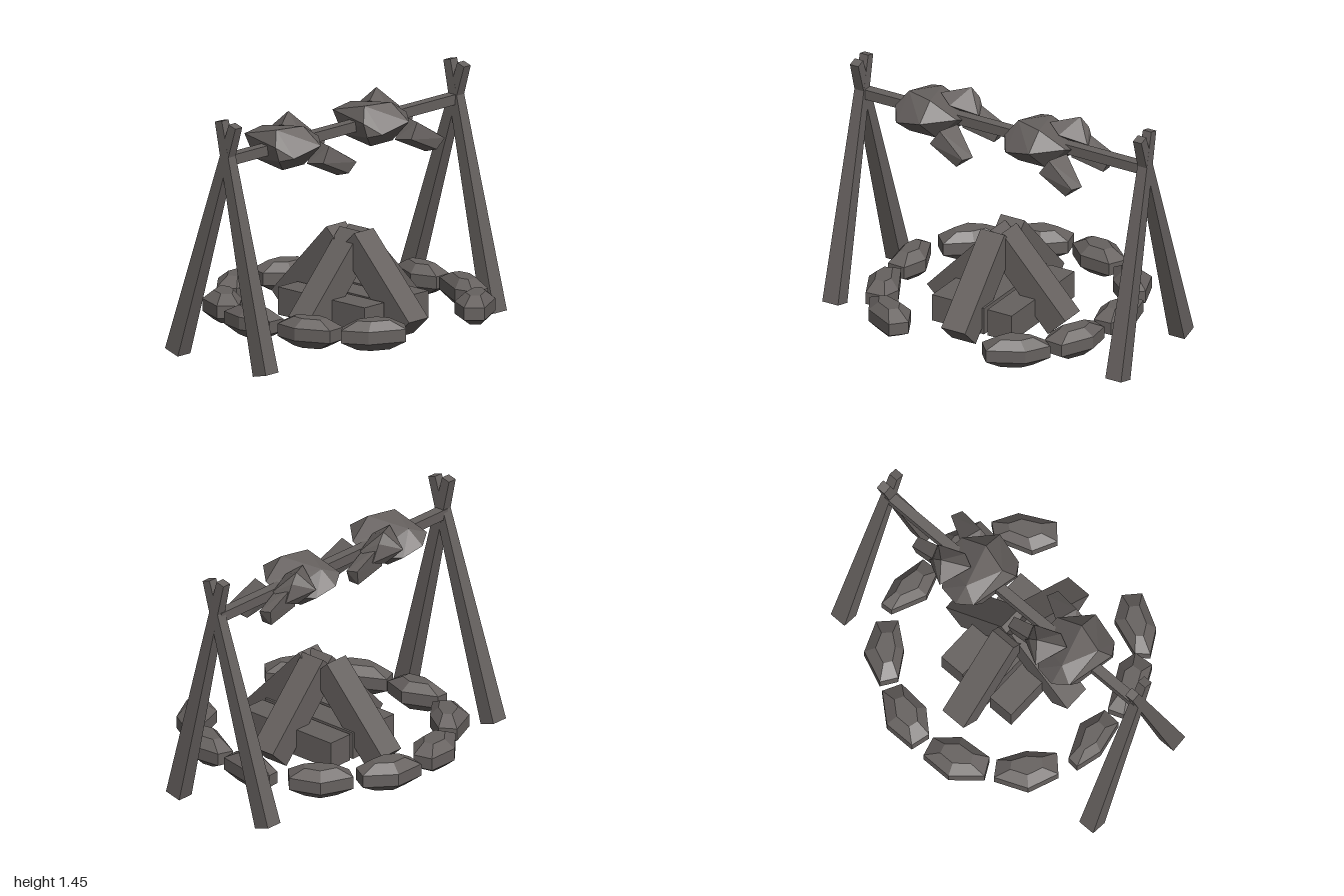
import * as THREE from 'three';
import { ConvexGeometry } from 'three/addons/geometries/ConvexGeometry.js';

export function createModel() {
  const model = new THREE.Group();
  const charcoal = new THREE.MeshStandardMaterial({ color: 0x66615f });
  charcoal.name = 'charcoal';

  const add = (parent, name, geometry) => {
    const mesh = new THREE.Mesh(geometry, charcoal);
    mesh.name = name;
    parent.add(mesh);
    return mesh;
  };
  const group = (name) => {
    const g = new THREE.Group();
    g.name = name;
    model.add(g);
    return g;
  };

  // Square beam between two points, tapering from w0 to w1
  const beam = (parent, name, from, to, w0, w1 = w0) => {
    const a = new THREE.Vector3(...from), b = new THREE.Vector3(...to);
    const dir = b.clone().sub(a);
    const geo = new THREE.BoxGeometry(1, dir.length(), 1);
    const p = geo.attributes.position;
    for (let i = 0; i < p.count; i++) {
      const w = p.getY(i) > 0 ? w1 : w0;
      p.setXYZ(i, p.getX(i) * w, p.getY(i), p.getZ(i) * w);
    }
    geo.computeVertexNormals();
    const mesh = add(parent, name, geo);
    mesh.position.copy(a).add(b).multiplyScalar(0.5);
    mesh.quaternion.setFromUnitVectors(new THREE.Vector3(0, 1, 0), dir.normalize());
  };
  const hull = (points) => new ConvexGeometry(points.map((p) => new THREE.Vector3(...p)));

  // Crossed posts and the spit
  const frame = group('spitFrame');
  for (const x of [-0.947, 0.947]) {
    beam(frame, 'frontPost', [x, 0.015, 0.295], [x, 1.45, -0.05], 0.105, 0.056);
    beam(frame, 'backPost', [x, 0.03, -0.395], [x, 1.437, 0.058], 0.105, 0.056);
  }
  beam(frame, 'spit', [-0.95, 1.225, -0.01], [0.95, 1.225, -0.01], 0.06);

  // Flat logs
  const logs = group('firewood');
  for (const x of [-0.152, 0.032, 0.217]) {
    beam(logs, 'flatLog', [x, 0.207, -0.285], [x, 0.207, 0.395], 0.163);
  }
  // Leaning logs, front and back, then the two sides
  for (const s of [1, -1]) {
    beam(logs, 'leaningLog', [0.02, 0.145, 0.04 + s * 0.482], [0.02, 0.595, 0.04 + s * 0.052], 0.16);
    beam(logs, 'sideLog', [0.037 + s * 0.405, 0.145, 0.06], [0.037 - s * 0.02, 0.595, 0.06], 0.16);
  }

  // Ring of faceted stones, outlines in x and z, mirrored across the fire
  const outlines = [
    [[0.05, -0.67], [0.08, -0.785], [0.27, -0.785], [0.425, -0.65], [0.37, -0.545], [0.17, -0.56]],
    [[0.41, -0.53], [0.47, -0.62], [0.66, -0.54], [0.73, -0.36], [0.64, -0.27], [0.5, -0.38]],
    [[0.71, -0.25], [0.78, -0.255], [0.82, -0.1], [0.78, 0.1], [0.67, 0.105], [0.62, -0.05]],
    [[0.68, 0.12], [0.77, 0.155], [0.785, 0.3], [0.69, 0.49], [0.57, 0.48], [0.545, 0.37]],
    [[0.28, 0.69], [0.35, 0.55], [0.57, 0.475], [0.64, 0.53], [0.56, 0.67], [0.36, 0.775]],
  ];
  const rings = [[0.12, 0.5], [0.17, 1], [0.243, 1], [0.292, 0.5]];
  const stones = group('stoneRing');
  for (const outline of outlines) {
    const cx = outline.reduce((t, p) => t + p[0], 0) / 6;
    const cz = outline.reduce((t, p) => t + p[1], 0) / 6;
    for (const mirror of [false, true]) {
      const points = rings.flatMap(([y, k]) => outline.map(([px, pz]) => {
        const x = cx + (px - cx) * k;
        return [mirror ? 0.07 - x : x, y, cz + (pz - cz) * k];
      }));
      add(stones, 'stone', hull(points));
    }
  }

  // Roast birds: body, raised thigh and two drumsticks
  const roastParts = {
    body: [
      [-0.66, 1.26, 0.1], [-0.65, 1.18, 0.12], [-0.6, 1.345, 0.05], [-0.6, 1.28, -0.2],
      [-0.6, 1.15, -0.12], [-0.58, 1.11, 0.08], [-0.6, 1.2, 0.19], [-0.51, 1.24, -0.25],
      [-0.5, 1.32, -0.15], [-0.43, 1.345, 0.1], [-0.42, 1.25, 0.23], [-0.4, 1.11, 0.08],
      [-0.38, 1.12, -0.1], [-0.38, 1.2, -0.22], [-0.27, 1.25, 0.07], [-0.25, 1.2, -0.07],
    ],
    thigh: [
      [-0.45, 1.33, -0.05], [-0.3, 1.365, -0.14], [-0.25, 1.31, -0.15], [-0.37, 1.26, -0.23],
      [-0.2, 1.25, -0.05], [-0.3, 1.17, -0.15], [-0.21, 1.2, -0.14], [-0.36, 1.29, 0],
    ],
    backDrumstick: [
      [-0.28, 1.29, -0.14], [-0.28, 1.27, -0.04], [-0.3, 1.15, -0.13], [-0.3, 1.15, -0.04],
      [-0.08, 1.19, -0.14], [-0.065, 1.18, -0.07], [-0.1, 1.1, -0.13], [-0.1, 1.1, -0.06],
    ],
    frontDrumstick: [
      [-0.38, 1.11, 0.08], [-0.37, 1.13, 0.2], [-0.31, 1.22, 0.19], [-0.27, 1.22, 0.06],
      [-0.2, 1.02, 0.15], [-0.18, 1.04, 0.22], [-0.13, 1.1, 0.235], [-0.1, 1.1, 0.17],
    ],
  };
  for (const x of [0, 0.73]) {
    const roast = group('roast');
    roast.position.x = x;
    for (const [name, points] of Object.entries(roastParts)) add(roast, name, hull(points));
  }

  return model;
}
